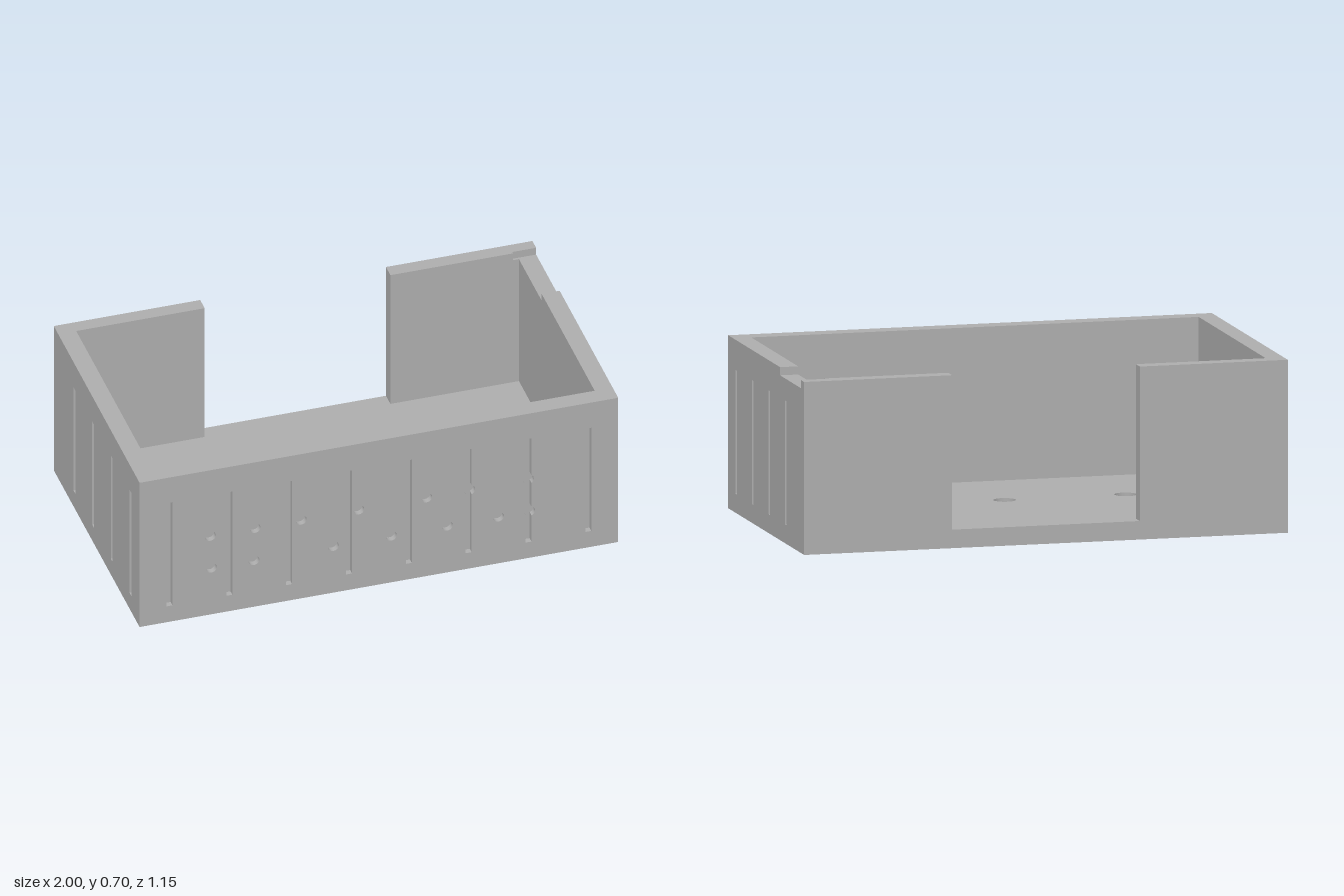
import * as THREE from 'three';

const W = 1, D = 0.575, H = 0.7;          // half width, half depth, height
const GROOVE = 0.025, HALF = 0.0125;      // recess depth, half slot width
const SLOT_Y0 = 0.077, SLOT_Y1 = 0.578, R = 0.0225;
const NOTCH_Y = 0.667, NOTCH_Z0 = -0.525, NOTCH_Z1 = -0.21, NOTCH_X = 0.9;

const polygon = (pts) => new THREE.Shape(pts.map(([x, y]) => new THREE.Vector2(x, y)));

function circle(x, y, r) {
  return new THREE.Path().absarc(x, y, r, 0, Math.PI * 2, true);
}

// Upright slot outline; round dimples that overlap it bulge out of both sides.
function slot(x, dimples = []) {
  const pts = [[x - HALF, SLOT_Y0], [x + HALF, SLOT_Y0]];
  const arc = ([cx, cy], mid, half) => {
    for (let i = 0; i <= 12; i++) {
      const a = mid - half + (2 * half * i) / 12;
      pts.push([cx + R * Math.cos(a), cy + R * Math.sin(a)]);
    }
  };
  dimples.forEach((d) => arc(d, 0, Math.acos((x + HALF - d[0]) / R)));
  pts.push([x + HALF, SLOT_Y1], [x - HALF, SLOT_Y1]);
  [...dimples].reverse().forEach((d) => arc(d, Math.PI, Math.acos((d[0] - x + HALF) / R)));
  return polygon(pts);
}

function extrude(shape, depth) {
  return new THREE.ExtrudeGeometry(shape, { depth, bevelEnabled: false, curveSegments: 24 });
}

// Extrude a plan outline given as [x, z] upward from y0 to y1.
function slab(shape, y0, y1) {
  return extrude(shape, y1 - y0).rotateX(-Math.PI / 2).translate(0, y0, 0);
}

export function createModel() {
  const group = new THREE.Group();
  const grey = new THREE.MeshStandardMaterial({ color: 0xadadad });
  const add = (name, geometry) => {
    const mesh = new THREE.Mesh(geometry, grey);
    mesh.name = name;
    group.add(mesh);
  };

  const ox = W - GROOVE, oz = D - GROOVE;          // core behind the grooved faces
  const ix = 0.925, iz = 0.5, bz = -0.515, gap = 0.388, floorY = 0.075;
  const plan = (pts) => polygon(pts.map(([x, z]) => [x, -z]));

  // Floor with five through holes
  const floor = plan([[-ox, oz], [ox, oz], [ox, -D], [-ox, -D]]);
  [[-0.75, 0], [-0.5, 0.05], [0, 0.05], [0.5, 0.05], [0.75, 0]].forEach(([x, z]) =>
    floor.holes.push(circle(x, -z, 0.0445)));
  add('floor', slab(floor, 0, floorY));

  // C-shaped walls, open at the back
  const leftHalf = [[-gap, -D], [-gap, bz], [-ix, bz], [-ix, iz]];
  add('walls', slab(plan([
    [-ox, -D], ...leftHalf, [ix, iz], [ix, bz], [gap, bz], [gap, -D], [ox, -D], [ox, oz], [-ox, oz],
  ]), floorY, NOTCH_Y));

  // Top rim, interrupted by the notch in one side wall
  add('frontRim', slab(plan([
    [-ox, -D], ...leftHalf, [ix, iz], [ix, NOTCH_Z1], [ox, NOTCH_Z1], [ox, oz], [-ox, oz],
  ]), NOTCH_Y, H));
  add('backRim', slab(plan([
    [gap, -D], [gap, bz], [NOTCH_X, bz], [NOTCH_X, NOTCH_Z0], [ox, NOTCH_Z0], [ox, -D],
  ]), NOTCH_Y, H));

  // Front face with slots and round dimples
  const front = polygon([[-ox, 0], [ox, 0], [ox, H], [-ox, H]]);
  const upper = [-0.704, -0.517, -0.325, -0.084, 0.2, 0.38, 0.625].map((x) => [x, 0.38]);
  const lower = [-0.7, -0.522, -0.19, 0.052, 0.286, 0.5, 0.63].map((x) => [x, 0.225]);
  const dimples = [...lower, ...upper];
  const touching = new Set();
  for (let i = 0; i < 8; i++) {
    const x = -0.875 + i * 0.25;
    const hits = dimples.filter((d) => Math.abs(d[0] - x) < HALF);
    hits.forEach((d) => touching.add(d));
    front.holes.push(slot(x, hits));
  }
  dimples.filter((d) => !touching.has(d)).forEach(([x, y]) => front.holes.push(circle(x, y, R)));
  add('frontFace', extrude(front, GROOVE).translate(0, 0, oz));

  // Side faces with four slots each; the left one carries the notch
  const slotZ = [0.452, 0.202, -0.048, -0.298];
  const left = polygon([
    [-D, 0], [D, 0], [D, H], [-NOTCH_Z0, H], [-NOTCH_Z0, NOTCH_Y],
    [-NOTCH_Z1, NOTCH_Y], [-NOTCH_Z1, H], [-D, H],
  ]);
  const right = polygon([[-D, 0], [D, 0], [D, H], [-D, H]]);
  slotZ.forEach((z) => {
    left.holes.push(slot(-z));
    right.holes.push(slot(z));
  });
  add('leftFace', extrude(left, GROOVE).rotateY(Math.PI / 2).translate(ox, 0, 0));
  add('rightFace', extrude(right, GROOVE).rotateY(-Math.PI / 2).translate(-ox, 0, 0));

  return group;
}
